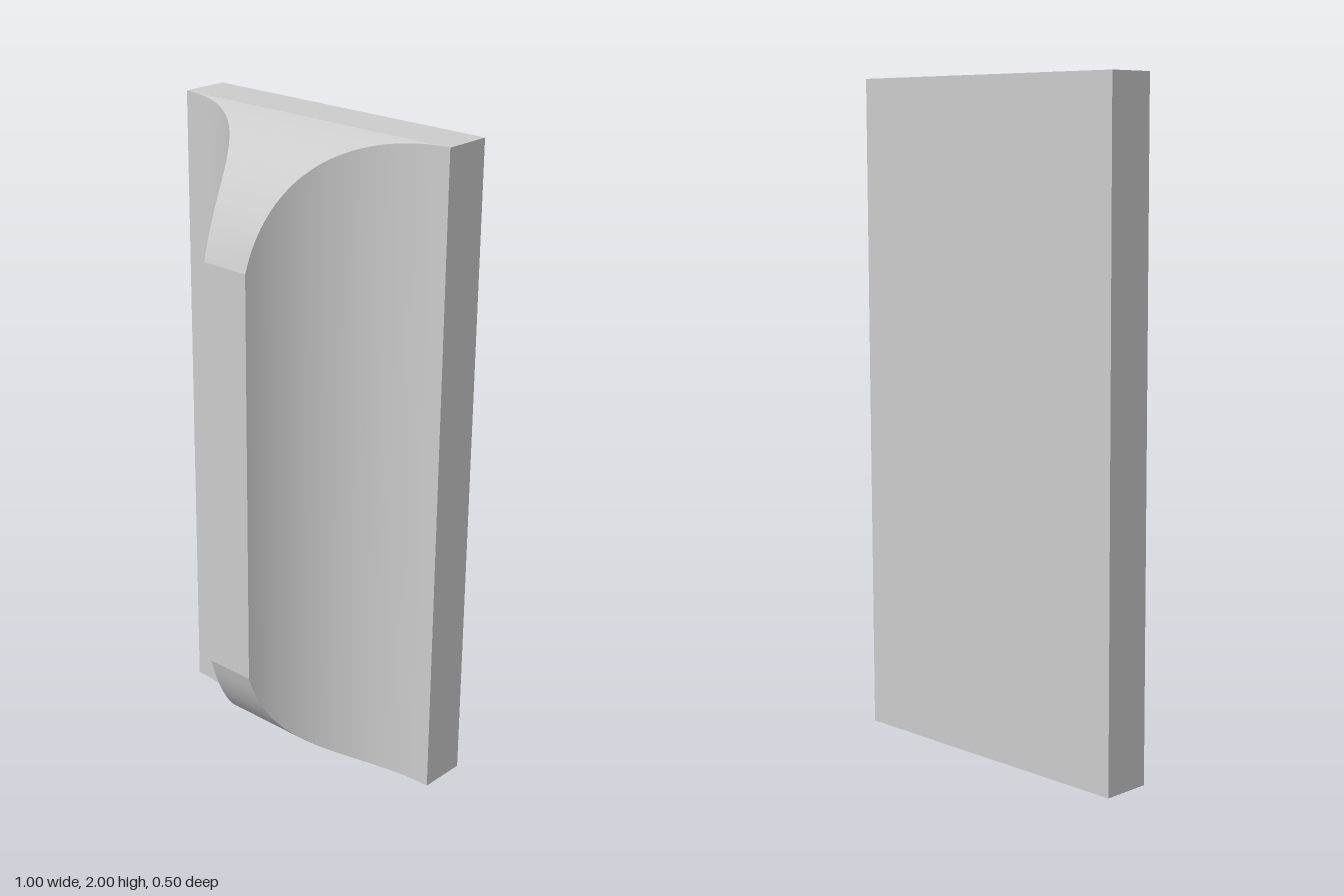
import * as THREE from 'three';

const BACK = -0.25, PLATE = -0.1, FRONT = 0.25;
const STEPS = 48;

// Concave side arc: half width of the rib, tangent to the plate at x = 0.5
const SIDE_R = 0.427;
const SIDE_END = Math.atan2(0.42, SIDE_R - (FRONT - PLATE));

// Convex end arc: half height of the rib at depth z
const END_R = 0.518, END_Y = 0.504;
const halfHeight = (z) => END_Y + Math.sqrt(END_R ** 2 - (z - BACK) ** 2);

// Rectangular cross-section of the rib, from the plate (t = 0) to the front (t = 1)
function section(t) {
  const a = t * SIDE_END;
  const z = PLATE + SIDE_R * (1 - Math.cos(a));
  return { w: 0.5 - SIDE_R * Math.sin(a), h: halfHeight(z), z };
}

// Smooth wall joining two edge curves of the sections
function wall(edgeA, edgeB) {
  const pos = [], index = [];
  for (let i = 0; i <= STEPS; i++) {
    const s = section(i / STEPS);
    pos.push(...edgeA(s), ...edgeB(s));
    if (i < STEPS) {
      const k = i * 2;
      index.push(k, k + 1, k + 3, k, k + 3, k + 2);
    }
  }
  const geo = new THREE.BufferGeometry();
  geo.setAttribute('position', new THREE.Float32BufferAttribute(pos, 3));
  geo.setIndex(index);
  geo.computeVertexNormals();
  return geo;
}

export function createModel() {
  const group = new THREE.Group();
  const material = new THREE.MeshStandardMaterial({ color: 0xcccccc });
  const add = (name, geo, y, z = 0, turn = 0) => {
    const mesh = new THREE.Mesh(geo, material);
    mesh.name = name;
    mesh.position.set(0, y, z);
    mesh.rotation.z = turn;
    group.add(mesh);
  };

  // Flat back plate
  add('backPlate', new THREE.BoxGeometry(1, 2, PLATE - BACK), 1, (PLATE + BACK) / 2);

  // Scooped sides and rounded ends of the grip rib
  const side = wall((s) => [s.w, -s.h, s.z], (s) => [s.w, s.h, s.z]);
  const end = wall((s) => [s.w, s.h, s.z], (s) => [-s.w, s.h, s.z]);
  add('gripSideLeft', side, 1);
  add('gripSideRight', side, 1, 0, Math.PI);
  add('gripTop', end, 1);
  add('gripBottom', end, 1, 0, Math.PI);

  // Flat front face of the rib
  const tip = section(1);
  add('gripFront', new THREE.PlaneGeometry(tip.w * 2, tip.h * 2), 1, tip.z);

  return group;
}
